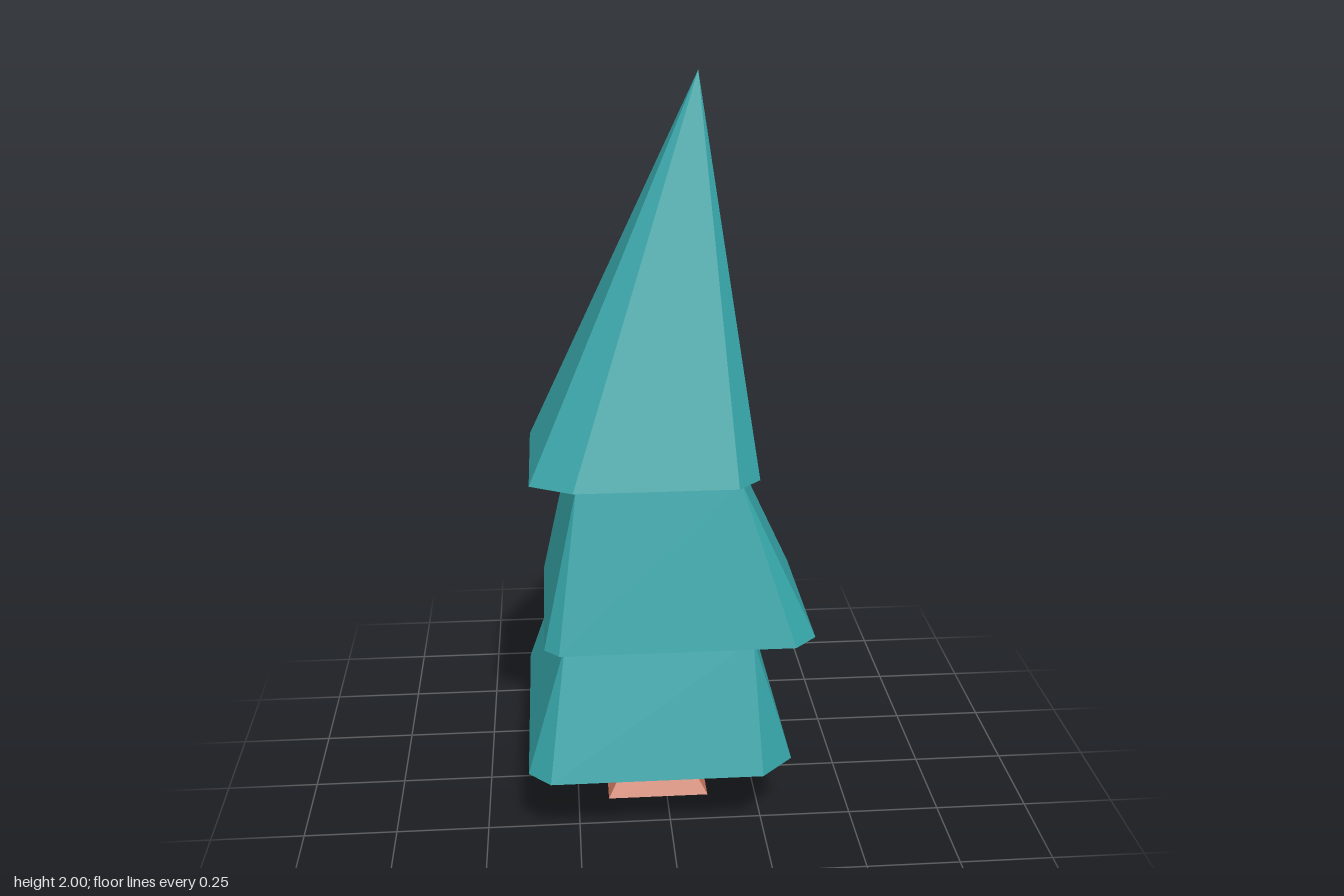
import * as THREE from 'three';

const leaf = new THREE.MeshStandardMaterial({ color: 0x36a5a8, flatShading: true });
const bark = new THREE.MeshStandardMaterial({ color: 0xc8775f, flatShading: true });

// Rectangle with one point per corner, counter-clockwise from above
const rect = (y, x0, x1, z0, z1) =>
  [[x0, z1], [x1, z1], [x1, z0], [x0, z0]].map(([x, z]) => new THREE.Vector3(x, y, z));

// Rectangle with cut corners: each side is [position, start, end]
const chamfered = (y, front, right, back, left) => [
  [front[1], front[0]], [front[2], front[0]],
  [right[0], right[1]], [right[0], right[2]],
  [back[1], back[0]], [back[2], back[0]],
  [left[0], left[1]], [left[0], left[2]],
].map(([x, z]) => new THREE.Vector3(x, y, z));

// Spread four corners over eight points, so each cut corner tapers to one point
const spread = (q) => [0, 1, 1, 2, 2, 3, 3, 0].map((i) => q[i]);

// Closed flat-shaded solid through rings of equal count, listed bottom to top
function loft(name, rings, material) {
  const pos = [];
  const tri = (a, b, c) => {
    if (new THREE.Triangle(a, b, c).getArea() > 1e-7)
      for (const p of [a, b, c]) pos.push(p.x, p.y, p.z);
  };
  const n = rings[0].length;
  for (let r = 0; r < rings.length - 1; r++) {
    const lo = rings[r], hi = rings[r + 1];
    for (let i = 0; i < n; i++) {
      const j = (i + 1) % n;
      tri(lo[i], lo[j], hi[j]);
      tri(lo[i], hi[j], hi[i]);
    }
  }
  const bottom = rings[0], top = rings[rings.length - 1];
  for (let i = 1; i < n - 1; i++) {
    tri(bottom[0], bottom[i + 1], bottom[i]);
    tri(top[0], top[i], top[i + 1]);
  }
  const geometry = new THREE.BufferGeometry();
  geometry.setAttribute('position', new THREE.Float32BufferAttribute(pos, 3));
  geometry.computeVertexNormals();
  const mesh = new THREE.Mesh(geometry, material);
  mesh.name = name;
  return mesh;
}

export function createModel() {
  const tree = new THREE.Group();
  tree.name = 'tree';

  // Square trunk with a flared foot
  tree.add(loft('trunk', [
    rect(0, -0.165, 0.115, -0.145, 0.135),
    rect(0.06, -0.13, 0.08, -0.113, 0.103),
    rect(0.22, -0.105, 0.06, -0.09, 0.08),
  ], bark));

  // Lower foliage tier
  tree.add(loft('lowerFoliage', [
    chamfered(0.217, [0.388, -0.325, 0.235], [0.322, 0.305, -0.315],
      [-0.39, 0.27, -0.325], [-0.383, -0.33, 0.33]),
    spread(rect(0.567, -0.28, 0.215, -0.21, 0.285)),
  ], leaf));

  // Middle foliage tier
  tree.add(loft('middleFoliage', [
    chamfered(0.567, [0.338, -0.295, 0.32], [0.38, 0.28, -0.205],
      [-0.27, 0.295, -0.295], [-0.333, -0.205, 0.3]),
    spread(rect(0.998, -0.24, 0.18, -0.175, 0.245)),
  ], leaf));

  // Pointed top tier with its tip off centre
  tree.add(loft('topFoliage', [
    chamfered(0.998, [0.295, -0.25, 0.17], [0.23, 0.235, -0.175],
      [-0.23, 0.16, -0.295], [-0.36, -0.165, 0.235]),
    Array(8).fill(new THREE.Vector3(0.082, 2, 0.034)),
  ], leaf));

  return tree;
}
